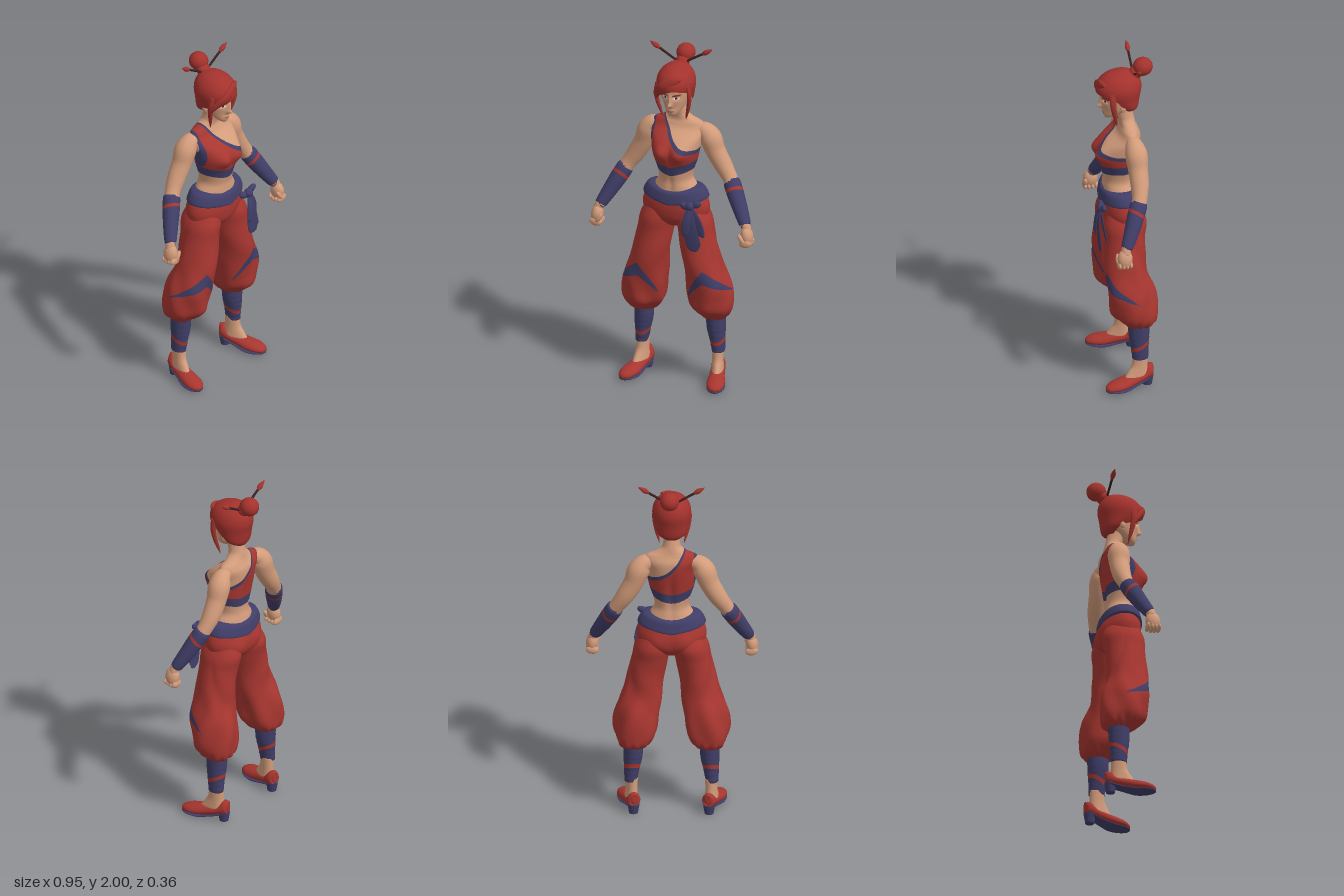
import * as THREE from 'three';

const paint = (name, color, side = THREE.FrontSide) => {
  const m = new THREE.MeshStandardMaterial({ color, side });
  m.name = name;
  return m;
};
const V = (x, y, z) => new THREE.Vector3(x, y, z);
const bump = (d, w) => Math.exp(-(d * d) / (w * w));

// Smooth body through sections [x, y, z, sideRadius, frontRadius, backRadius].
// Rings are level, or square to the path when a reference vector is given.
function loft(sections, { n = 40, steps = 8, ref = null, warp = null } = {}) {
  const S = sections.map(([x, y, z, a, f = a, b = f]) => [x, y, z, a, f, b]);
  const rows = [];
  for (let i = 0; i < S.length - 1; i++) {
    const [p, q, r, s] = [S[Math.max(i - 1, 0)], S[i], S[i + 1], S[Math.min(i + 2, S.length - 1)]];
    for (let k = 0; k < steps + (i === S.length - 2 ? 1 : 0); k++) {
      const t = k / steps;
      rows.push(q.map((_, c) => 0.5 * (2 * q[c] + (r[c] - p[c]) * t + (2 * p[c] - 5 * q[c] + 4 * r[c] - s[c]) * t * t
        + (3 * q[c] - p[c] - 3 * r[c] + s[c]) * t * t * t)));
    }
  }
  const pos = [], idx = [], last = rows.length - 1;
  const put = (v) => { if (warp) warp(v); pos.push(v.x, v.y, v.z); };
  rows.forEach((w, i) => {
    let A = V(1, 0, 0), B = V(0, 0, 1);
    if (ref) {
      const e = rows[Math.min(i + 1, last)], d = rows[Math.max(i - 1, 0)];
      const T = V(e[0] - d[0], e[1] - d[1], e[2] - d[2]).normalize();
      A = T.clone().cross(ref).normalize();
      B = A.clone().cross(T);
    }
    for (let j = 0; j < n; j++) {
      const a = (j / n) * Math.PI * 2, s = Math.sin(a);
      put(V(w[0], w[1], w[2]).addScaledVector(A, Math.cos(a) * Math.max(w[3], 0.001))
        .addScaledVector(B, s * Math.max(s > 0 ? w[4] : w[5], 0.001)));
    }
  });
  for (const w of [rows[0], rows[last]]) put(V(w[0], w[1], w[2]));
  const c0 = rows.length * n;
  for (let j = 0; j < n; j++) {
    const k = (j + 1) % n;
    for (let i = 0; i < last; i++) {
      const a = i * n + j, b = i * n + k;
      idx.push(a, a + n, b, b, a + n, b + n);
    }
    idx.push(c0, j, k, c0 + 1, last * n + k, last * n + j);
  }
  const g = new THREE.BufferGeometry();
  g.setAttribute('position', new THREE.Float32BufferAttribute(pos, 3));
  g.setIndex(idx);
  g.computeVertexNormals();
  return g;
}

// Cuts a surface along fn = 0 and returns [inside, outside]
function split(geo, fn) {
  const g = geo.index ? geo.toNonIndexed() : geo;
  const P = g.attributes.position, N = g.attributes.normal;
  return [1, -1].map((sign) => {
    const pos = [], nor = [];
    for (let t = 0; t < P.count; t += 3) {
      const tri = [0, 1, 2].map((k) => {
        const p = V().fromBufferAttribute(P, t + k);
        return { p, n: V().fromBufferAttribute(N, t + k), f: fn(p) * sign };
      });
      const poly = [];
      tri.forEach((a, k) => {
        const b = tri[(k + 1) % 3], u = a.f / (a.f - b.f);
        if (a.f >= 0) poly.push(a);
        if (a.f * b.f < 0) poly.push({ p: a.p.clone().lerp(b.p, u), n: a.n.clone().lerp(b.n, u) });
      });
      for (let k = 1; k < poly.length - 1; k++)
        for (const v of [poly[0], poly[k], poly[k + 1]]) { pos.push(...v.p.toArray()); nor.push(...v.n.toArray()); }
    }
    const out = new THREE.BufferGeometry();
    out.setAttribute('position', new THREE.Float32BufferAttribute(pos, 3));
    out.setAttribute('normal', new THREE.Float32BufferAttribute(nor, 3));
    return out;
  });
}

export function createModel() {
  const model = new THREE.Group();
  const red = paint('red cloth', 0xa83630), blue = paint('indigo cloth', 0x403e68), skin = paint('skin', 0xd39c7b);
  const hair = paint('red hair', 0xa4322d, THREE.DoubleSide), wood = paint('dark wood', 0x3a2020);
  const white = paint('eye white', 0xe6dcd6), lip = paint('lips', 0xb8715f);
  const add = (name, geo, mat, parent = model) => {
    const m = new THREE.Mesh(geo, mat);
    m.name = name;
    parent.add(m);
    return m;
  };
  // Adds a body with regions [name, rule, material] cut out of it
  const addCut = (name, geo, mat, cuts, parent) => {
    for (const [part, fn, m] of cuts) {
      const [inside, rest] = split(geo, fn);
      add(part, inside, m, parent);
      geo = rest;
    }
    add(name, geo, mat, parent);
  };
  const ball = (name, x, y, z, a, b, c, mat, parent) => {
    const m = add(name, new THREE.SphereGeometry(1, 24, 16), mat, parent);
    m.position.set(x, y, z);
    m.scale.set(a, b, c);
    return m;
  };
  const FRONT = V(0, 0, 1), UP = V(0, 1, 0);

  // Torso and neck with the one-shoulder top
  const torso = loft([[0, 1.08, 0, .165, .1], [0, 1.15, 0, .15, .1, .095], [0, 1.2, 0, .117, .1, .088], [0, 1.24, 0, .096, .1, .082],
    [0, 1.29, 0, .102, .108, .085], [0, 1.35, 0, .122, .115, .092], [0, 1.42, 0, .137, .115, .102], [0, 1.48, 0, .145, .092, .11],
    [0, 1.53, -.03, .152, .06, .078], [0, 1.565, -.04, .14, .05, .052], [0, 1.585, -.04, .095, .045], [0, 1.61, -.035, .057, .045],
    [0, 1.64, -.025, .046, .045, .048], [0, 1.7, -.01, .044, .042, .05]], {
    n: 88, warp: (v) => {
      if (v.z > 0) v.z += Math.min(1, v.z / .04) * (.045 * bump(Math.abs(v.x) - .06, .055) * bump(v.y - 1.415, .055)
        - .008 * bump(v.x, .02) * bump(v.y - 1.22, .07));
      else v.z += .012 * bump(v.x, .025) * bump(v.y - 1.32, .15);
    },
  });
  const top = (p) => Math.min((1.41 + .08 * Math.exp((.01 - p.x) / .0925) - p.y) * .75, p.x + .143, p.y - 1.3);
  addCut('torso', torso, skin, [
    ['chestBand', (p) => .027 - Math.abs(p.y - 1.302 - .25 * Math.abs(p.x)), blue],
    ['top', (p) => top(p) - .018, red],
    ['topTrim', top, blue],
  ]);

  // Head: nose, chin and sunk eyes are pushed from a smooth loft
  const head = loft([[0, 1.632, .068, .016, .018, .03], [0, 1.65, .05, .037, .045, .05], [0, 1.69, .02, .06, .078, .075],
    [0, 1.735, .005, .073, .104, .1], [0, 1.78, 0, .08, .111, .11], [0, 1.83, 0, .08, .11, .11], [0, 1.88, 0, .055, .08], [0, 1.9, 0, .01]], {
    n: 110, steps: 14, warp: (v) => {
      if (v.z < .03) return;
      v.z += .026 * bump(v.x, .012) * bump(v.y - 1.706, .014) + .012 * bump(v.x, .01) * bump(v.y - 1.735, .03)
        - .01 * bump(Math.abs(v.x) - .033, .02) * bump(v.y - 1.75, .015) + .006 * bump(v.x, .02) * bump(v.y - 1.668, .01);
    },
  });
  const oval = (cx, cy, a, b) => (p) =>
    p.z < .02 ? -1 : Math.max(-1, 1 - ((Math.abs(p.x) - cx) / a) ** 2 - ((p.y - cy) / b) ** 2);
  addCut('head', head, skin, [
    ['irises', oval(.032, 1.747, .006, .007), wood], ['eyes', oval(.033, 1.747, .018, .007), white],
    ['brows', (p) => oval(.036, 1.762 + Math.abs(p.x) * .1, .024, .006)(p), hair], ['lips', oval(0, 1.668, .02, .006), lip],
  ]);
  for (const s of [-1, 1]) ball('ear', s * .079, 1.718, -.002, .011, .026, .017, skin).rotation.x = -.2;

  // Hair shell, open round the face
  const shell = loft([[0, 1.672, -.055, .04, .03], [0, 1.7, -.04, .08, .08, .06], [0, 1.76, -.01, .1, .13, .1], [0, 1.82, 0, .108, .138, .12],
    [0, 1.87, 0, .092, .115, .107], [0, 1.905, -.005, .056, .07], [0, 1.92, -.01, .012]], { n: 72 });
  add('hair', split(shell, (p) => Math.max(p.y - 1.8 + 6 * (p.x - .03) ** 2, -.02 + (p.y - 1.7) * .8 - p.z))[0], hair);
  add('fringe', loft([[.06, 1.87, .1, .01], [.02, 1.855, .118, .028, .014], [-.04, 1.815, .122, .03, .016], [-.083, 1.765, .085, .022, .014],
    [-.098, 1.715, .06, .004]], { ref: FRONT, n: 20 }), hair);
  for (const s of [-1, 1]) {
    add('sideLock', loft([[s * .09, 1.82, .06, .01, .02], [s * .098, 1.76, .06, .012, .018], [s * .092, 1.7, .052, .011, .014],
      [s * .08, 1.65, .042, .009], [s * .068, 1.6, .032, .001]], { ref: FRONT, n: 16 }), hair);
    // Hair sticks with brush ends
    const at = (t, r) => [s * .185 * t, 1.885 + .112 * t, -.075, r];
    add('hairStick', loft([at(-.15, .006), at(.75, .007)], { ref: FRONT, n: 12 }), wood);
    add('stickTip', loft([at(.68, .007), at(.78, .014), at(.88, .011), at(1, .001)], { ref: FRONT, n: 14 }), hair);
  }
  ball('bun', .01, 1.935, -.127, .053, .053, .056, hair);
  ball('bunBase', .005, 1.9, -.09, .04, .035, .04, hair);

  for (const s of [-1, 1]) {
    // Arm, forearm wrap and fist
    const m = (list) => list.map(([x, ...r]) => [s * x, ...r]);
    add('arm', loft(m([[.1, 1.53, -.045, .03], [.15, 1.514, -.047, .05], [.183, 1.472, -.052, .062], [.21, 1.4, -.055, .056],
      [.255, 1.32, -.055, .051], [.297, 1.255, -.045, .043], [.33, 1.2, -.025, .042], [.38, 1.11, .015, .038], [.425, 1.035, .055, .028],
      [.44, .995, .065, .026]]), { ref: FRONT }), skin);
    const along = (p) => (s * p.x - .31) * .46 - (p.y - 1.235) * .8 + (p.z + .04) * .38;
    addCut('forearmWrap', loft(m([[.312, 1.232, -.038, .042], [.316, 1.225, -.035, .048], [.345, 1.172, -.012, .048],
      [.385, 1.1, .02, .042], [.422, 1.034, .052, .034], [.426, 1.026, .056, .028]]), { ref: FRONT }), blue,
    [['wrapStripe', (p) => .01 - Math.abs(along(p) - .06 + .25 * (p.z + .02)), red]]);
    const hand = new THREE.Group();
    hand.name = 'hand';
    hand.position.set(s * .443, .962, .07);
    hand.rotation.z = s * .15;
    model.add(hand);
    ball('palm', 0, .005, 0, .034, .056, .042, skin, hand);
    for (let i = 0; i < 4; i++) ball('finger', -s * .006, -.038 + Math.abs(i - 1.3) * .004, -.03 + i * .021, .035, .023, .0125, skin, hand);
    ball('thumb', -s * .022, -.005, .035, .014, .035, .014, skin, hand).rotation.z = s * .4;

    // Baggy trouser leg with knee patch
    const leg = loft(m([[.21, .393, -.056, .06, .06, .066], [.206, .42, -.055, .09, .095, .1], [.2, .47, -.04, .118, .13, .125],
      [.195, .54, -.025, .125, .128, .138], [.185, .62, -.015, .124, .13, .132], [.16, .72, 0, .112, .12, .115], [.14, .82, .005, .104, .115],
      [.12, .92, 0, .1, .115, .115], [.105, 1, 0, .1, .113, .125], [.09, 1.07, 0, .08, .09, .1]]), {
      n: 80, warp: (v) => {
        const a = Math.atan2(v.z + .03, s * v.x - .19), k = .007 * bump(v.y - .52, .17) * Math.sin(5 * a + v.y * 14)
          + .005 * bump(v.y - .4, .04) * Math.sin(15 * a) + .004 * bump(v.y - .75, .2) * Math.sin(3 * a - v.y * 22);
        v.x += s * Math.cos(a) * k;
        v.z += Math.sin(a) * k;
      },
    });
    addCut('trouserLeg', leg, red, [['kneePatch', (p) => {
      const d = Math.atan2(p.z + .01, s * p.x - .17) - 1.4;
      const drop = d < 0 ? -d * .068 : d * .14, half = d < 0 ? .04 * (1 + d / 1.75) : .04 * (1 - d / 1.25);
      return half - Math.abs(p.y - .688 + drop);
    }, blue]]);

    // Calf wrap
    addCut('calfWrap', loft(m([[.225, .183, -.065, .036, .045], [.22, .25, -.062, .043, .05], [.213, .33, -.06, .053, .058],
      [.212, .42, -.06, .055, .062]]), { warp: (v) => { v.z += .001 * Math.sin(v.y * 180); } }), blue,
    [['calfStripe', (p) => .012 - Math.abs(p.y - .262 + .5 * (p.z + .06)), red]]);

    // Foot, slipper, sole and heel turned outward
    const foot = new THREE.Group();
    foot.name = 'foot';
    foot.position.set(s * .222, 0, -.06);
    foot.rotation.y = s * .25;
    model.add(foot);
    add('ankle', loft([[0, .055, -.005, .03, .1, .05], [0, .075, -.005, .034, .09, .05], [0, .1, -.005, .033, .073, .045],
      [0, .14, -.005, .032, .05, .043], [0, .2, -.005, .034, .043]]), skin, foot);
    add('shoe', loft([[0, .09, -.08, .012, .03, .025], [0, .088, -.065, .035, .04, .04], [0, .066, -.02, .04, .026, .032],
      [0, .05, .04, .043, .032, .03], [0, .036, .1, .05, .036, .026], [0, .032, .15, .048, .029, .022], [0, .026, .19, .03, .018],
      [0, .024, .204, .005]], { ref: UP }), red, foot);
    add('sole', loft([[0, .052, -.078, .018, .008], [0, .046, -.05, .034, .009], [0, .026, .02, .038, .01], [0, .011, .09, .049, .011],
      [0, .011, .15, .047, .011], [0, .013, .19, .028, .009], [0, .016, .203, .005]], { ref: UP }), blue, foot);
    add('heel', new THREE.CylinderGeometry(.034, .025, .056, 24), blue, foot).position.set(0, .028, -.05);

    // Sash loop beside the knot
    ball('sashLoop', .13 + s * .032, 1.128 + s * .008, .13, .034, .02, .016, blue).rotation.z = s * .4;
  }

  // Seat of the trousers and sash
  add('trouserSeat', loft([[0, .955, -.005, .05, .06, .07], [0, 1, 0, .165, .1, .11], [0, 1.06, 0, .193, .114, .118],
    [0, 1.12, 0, .182, .112, .108], [0, 1.165, 0, .15, .1, .095]], {
    n: 64, warp: (v) => { if (v.z < 0) v.z -= .016 * bump(Math.abs(v.x) - .085, .06) * bump(v.y - 1.04, .06); },
  }), red);
  add('sash', loft([[0, 1.118, 0, .17, .1], [0, 1.122, 0, .189, .121, .118], [0, 1.15, 0, .182, .12, .114], [0, 1.185, 0, .158, .112, .104],
    [0, 1.198, 0, .12, .095, .085]], { n: 64, warp: (v) => { v.y += Math.abs(v.x) * .16 - .018; } }), blue);
  ball('sashKnot', .13, 1.125, .137, .026, .027, .024, blue);
  const tails = [
    [[.13, 1.12, .145, .016, .006], [.135, 1.03, .155, .032, .005], [.148, .94, .152, .042, .005], [.16, .89, .15, .04, .004], [.175, .865, .148, .012, .003]],
    [[.135, 1.12, .14, .014, .006], [.165, 1.04, .135, .028, .005], [.188, .97, .125, .024, .005], [.205, .94, .12, .006, .003]],
    [[.128, 1.12, .145, .012, .006], [.118, 1.05, .165, .022, .005], [.112, .98, .168, .022, .005], [.11, .95, .166, .006, .003]],
  ];
  for (const t of tails) add('sashTail', loft(t, { ref: FRONT, n: 16 }), blue);

  return model;
}
